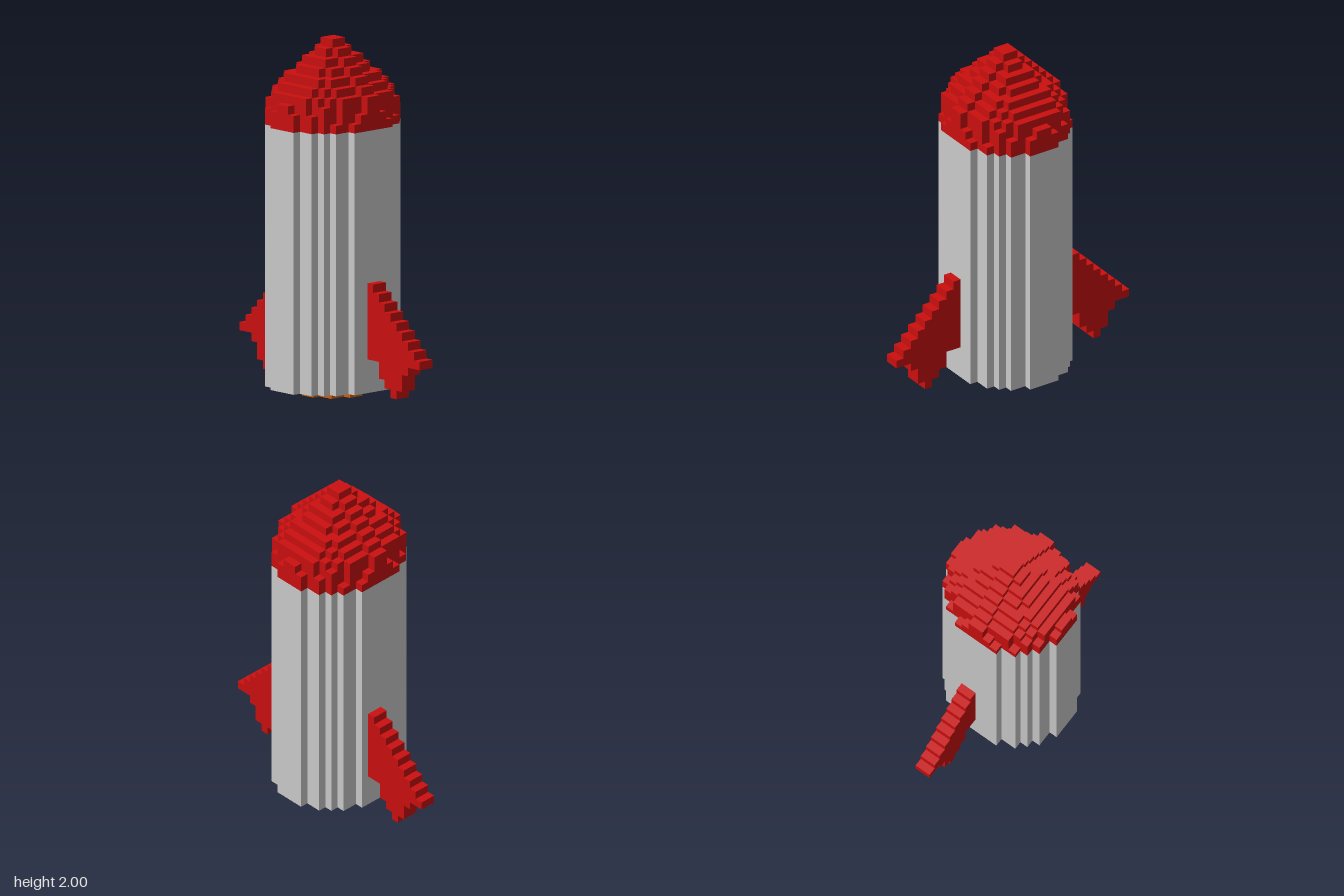
import * as THREE from 'three';
import { mergeGeometries } from 'three/addons/utils/BufferGeometryUtils.js';

const UNIT = 2 / 42; // edge of one block

const paint = (name, color) => {
  const m = new THREE.MeshStandardMaterial({ color });
  m.name = name;
  return m;
};

// Half-widths of the block rows inside an ellipse of radii (a, b)
function ellipseRows(a, b) {
  const rows = [];
  for (let z = 0.5; z < b; z++) {
    const w = Math.round(a * Math.sqrt(1 - (z / b) ** 2));
    if (w > 0) rows.push(w);
  }
  return rows;
}

// Stepped slab, mirrored in four quadrants, from y0 to y1
function slab(rows, y0, y1) {
  const q = [];
  rows.forEach((w, r) => {
    if (r > 0 && w !== rows[r - 1]) q.push([w, r]);
    if (w !== rows[r + 1]) q.push([w, r + 1]);
  });
  const back = [...q].reverse();
  const outline = [
    ...q,
    ...back.map(([x, z]) => [-x, z]),
    ...q.map(([x, z]) => [-x, -z]),
    ...back.map(([x, z]) => [x, -z]),
  ].map(([x, z]) => new THREE.Vector2(x, z));
  const g = new THREE.ExtrudeGeometry(new THREE.Shape(outline), { depth: y1 - y0, bevelEnabled: false });
  return g.rotateX(-Math.PI / 2).translate(0, y0, 0);
}

// Stepped fin pointing to +z: [inner, outer] per block row, from row 1 upwards
function finGeometry() {
  const rows = [[11, 12], [10, 13], [9, 13], [9, 14]];
  for (let outer = 16; outer >= 8; outer--) rows.push([6.5, outer]);
  return mergeGeometries(rows.map(([a, b], i) =>
    new THREE.BoxGeometry(2, 1, b - a).translate(0, i + 1.5, (a + b) / 2)));
}

export function createModel() {
  const grey = paint('hull grey', 0xcccccc);
  const red = paint('rocket red', 0xcc0f0f);
  const orange = paint('nozzle orange', 0xcc6010);

  const model = new THREE.Group();
  model.name = 'rocket';
  const add = (name, geometry, material) => {
    const mesh = new THREE.Mesh(geometry, material);
    mesh.name = name;
    model.add(mesh);
    return mesh;
  };

  // Engine and hull
  add('nozzle', slab([4, 3, 3, 1], 0, 1), orange);
  add('hull', slab(ellipseRows(8, 7), 1, 32), grey);

  // Nose cone: three nearly full layers, then an even taper to the tip
  const sizes = [1, 0.965, 0.943];
  for (let k = 7; k >= 1; k--) sizes.push(k / 7.5);
  add('noseCone', mergeGeometries(sizes.map((s, i) =>
    slab(ellipseRows(8 * s, 7 * s), 32 + i, 33 + i))), red);

  // Fins, the rear one set one block to the side
  add('frontFin', finGeometry(), red);
  const rear = add('rearFin', finGeometry(), red);
  rear.rotation.y = Math.PI;
  rear.position.x = 1;

  model.scale.setScalar(UNIT);
  const root = new THREE.Group();
  root.add(model);
  return root;
}
